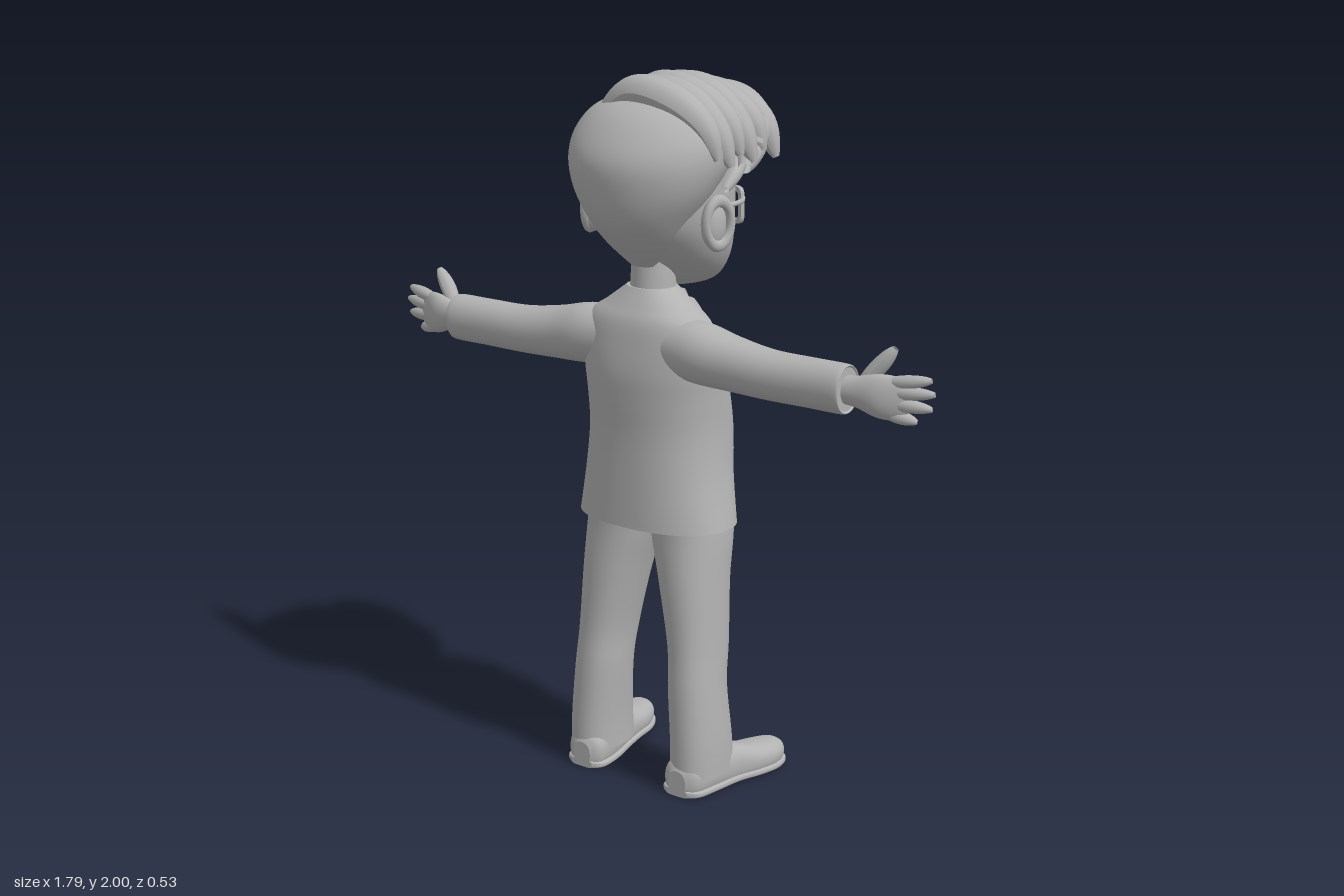
import * as THREE from 'three';

const grey = new THREE.MeshStandardMaterial({ color: 0xb2b2b2, side: THREE.DoubleSide });

// Smoothly interpolated row [along, cx, cz, rx, rz] at t in 0..1
function rowAt(rows, t) {
  const f = t * (rows.length - 1), i = Math.min(Math.floor(f), rows.length - 2), u = f - i;
  const at = k => rows[Math.max(0, Math.min(rows.length - 1, k))];
  return rows[0].map((_, k) => {
    const [a, b, c, d] = [at(i - 1)[k], at(i)[k], at(i + 1)[k], at(i + 2)[k]];
    return b + 0.5 * u * (c - a + u * (2 * a - 5 * b + 4 * c - d + u * (3 * (b - c) + d - a)));
  });
}

// Closed loft of superellipse rings stacked along y
function loft(rows, n = 2, seg = 40, sub = 6, rule = null) {
  const pos = [], idx = [], rings = (rows.length - 1) * sub;
  const ring = (t) => {
    const [y, cx, cz, rx, rz] = rowAt(rows, t);
    for (let j = 0; j < seg; j++) {
      const a = j / seg * Math.PI * 2, c = Math.cos(a), s = Math.sin(a);
      const p = new THREE.Vector3(cx + Math.sign(c) * Math.abs(c) ** (2 / n) * rx, y,
        cz + Math.sign(s) * Math.abs(s) ** (2 / n) * rz);
      if (rule) rule(p, cz);
      pos.push(p.x, p.y, p.z);
    }
  };
  for (let i = 0; i <= rings; i++) ring(i / rings);
  for (let i = 0; i < rings; i++) for (let j = 0; j < seg; j++) {
    const a = i * seg + j, b = i * seg + (j + 1) % seg;
    idx.push(a, a + seg, b, b, a + seg, b + seg);
  }
  for (const t of [0, 1]) {
    const base = pos.length / 3;
    ring(t);
    const r = rows[t * (rows.length - 1)];
    pos.push(r[1], r[0], r[2]);
    for (let j = 0; j < seg; j++) {
      const a = base + j, b = base + (j + 1) % seg;
      idx.push(base + seg, t ? b : a, t ? a : b);
    }
  }
  return build(pos, idx);
}

function build(pos, idx) {
  const g = new THREE.BufferGeometry();
  g.setAttribute('position', new THREE.Float32BufferAttribute(pos, 3));
  g.setIndex(idx);
  g.computeVertexNormals();
  return g;
}

// Tapered round strand through points; radius is a function of t
function strand(pts, radius, seg = 28) {
  const curve = new THREE.CatmullRomCurve3(pts.map(p => new THREE.Vector3(...p)));
  const g = new THREE.TubeGeometry(curve, seg, 1, 12), p = g.attributes.position, v = new THREE.Vector3();
  for (let i = 0; i < p.count; i++) {
    const t = Math.floor(i / 13) / seg, c = curve.getPointAt(t);
    v.fromBufferAttribute(p, i).sub(c).multiplyScalar(radius(t)).add(c);
    p.setXYZ(i, v.x, v.y, v.z);
  }
  g.computeVertexNormals();
  return g;
}
const rounded = r => t => r * Math.max(0.02, Math.sin(Math.PI * (0.06 + 0.9 * t))) ** 0.5;
const ball = (x, y, z, rx, ry, rz) => new THREE.SphereGeometry(1, 28, 20).scale(rx, ry, rz).translate(x, y, z);

function mirrored(g) {
  const m = g.clone().scale(-1, 1, 1);
  if (!m.index) m.setIndex([...Array(m.attributes.position.count).keys()]);
  const a = m.index.array;
  for (let i = 0; i < a.length; i += 3) [a[i], a[i + 1]] = [a[i + 1], a[i]];
  return m;
}

const jacketRows = [
  [0.765, 0.005, 0.03, 0.238, 0.152], [0.9, 0, 0.016, 0.214, 0.163], [1.02, 0, 0.008, 0.202, 0.17],
  [1.12, 0, 0.02, 0.202, 0.163], [1.2, 0, 0.038, 0.205, 0.147], [1.28, 0, 0.055, 0.205, 0.12],
  [1.34, 0, 0.06, 0.185, 0.102], [1.38, 0, 0.055, 0.13, 0.085], [1.425, 0, 0.05, 0.07, 0.062]];

// Chest surface depth, used to drape cloth details over the jacket
function chestZ(x, y) {
  let lo = 0, hi = 1;
  for (let k = 0; k < 20; k++) { const m = (lo + hi) / 2; rowAt(jacketRows, m)[0] < y ? lo = m : hi = m; }
  const [, cx, cz, rx, rz] = rowAt(jacketRows, lo);
  return cz - rz * Math.max(0, 1 - Math.abs((x - cx) / rx) ** 2.3) ** (1 / 2.3);
}

// Raised cloth panel; edges lists [y, innerX, outerX] from bottom to top
function drape(edges, lift) {
  const pos = [], idx = [], R = 16, C = 8;
  for (let i = 0; i <= R; i++) {
    const [y, a, b] = rowAt(edges, i / R);
    for (let j = 0; j <= C; j++) {
      const x = a + (b - a) * j / C;
      const edge = j === 0 || j === C || i === 0 || i === R;
      pos.push(x, y, chestZ(x, y) - (edge ? -0.003 : lift));
    }
  }
  for (let i = 0; i < R; i++) for (let j = 0; j < C; j++) {
    const a = i * (C + 1) + j, c = a + C + 1;
    idx.push(a, c, a + 1, a + 1, c, c + 1);
  }
  return build(pos, idx);
}

export function createModel() {
  const model = new THREE.Group();
  const add = (name, g) => {
    const m = new THREE.Mesh(g, grey);
    m.name = name;
    model.add(m);
  };
  const pair = (name, g) => { add(name + 'Left', g); add(name + 'Right', mirrored(g)); };

  // Jacket with the front hem cut away around the middle
  add('jacket', loft(jacketRows, 2.3, 64, 6, (p, cz) => {
    if (p.z < cz && p.y < 0.98)
      p.y += 0.1 * Math.max(0, 1 - Math.abs(p.x) / 0.12) ** 0.8 * (0.98 - p.y) / 0.215;
  }));
  pair('lapel', drape([[1.03, 0.0, 0.012], [1.12, 0.025, 0.07], [1.2, 0.045, 0.11], [1.25, 0.056, 0.125]], 0.011));
  pair('jacketCollar', drape([[1.245, 0.055, 0.1], [1.3, 0.065, 0.115], [1.35, 0.07, 0.11], [1.39, 0.065, 0.09]], 0.014));
  pair('shirtCollar', drape([[1.3, 0.03, 0.04], [1.34, 0.012, 0.06], [1.38, 0.01, 0.065], [1.41, 0.02, 0.06]], 0.016));
  add('tie', drape([[1.05, -0.006, 0.006], [1.15, -0.024, 0.024], [1.28, -0.016, 0.016], [1.3, -0.013, 0.013],
    [1.34, -0.022, 0.022], [1.36, -0.02, 0.02]], 0.013));
  pair('pocketFlap', drape([[0.92, 0.08, 0.17], [0.955, 0.08, 0.17]], 0.008));
  add('button', ball(0, 1.02, chestZ(0, 1.02), 0.012, 0.012, 0.008));

  // Trousers
  pair('trouserLeg', loft([[0.05, 0.178, 0.055, 0.074, 0.107], [0.15, 0.176, 0.058, 0.073, 0.102],
    [0.3, 0.165, 0.06, 0.072, 0.094], [0.42, 0.156, 0.045, 0.073, 0.1], [0.6, 0.133, 0.032, 0.089, 0.109],
    [0.75, 0.11, 0.012, 0.107, 0.122], [0.86, 0.1, 0.015, 0.1, 0.125]], 2.2));

  // Shoes, toes turned out, flattened underneath
  const shoeRows = [[-0.23, 0.238, -0.035, 0.012, 0.012], [-0.215, 0.236, -0.035, 0.04, 0.033],
    [-0.16, 0.23, -0.035, 0.062, 0.042], [-0.09, 0.218, -0.038, 0.062, 0.05], [-0.02, 0.198, -0.045, 0.058, 0.065],
    [0.07, 0.18, -0.05, 0.063, 0.07], [0.14, 0.172, -0.045, 0.058, 0.06], [0.165, 0.17, -0.04, 0.03, 0.035]];
  pair('shoe', loft(shoeRows, 2.3, 36, 5, p => { p.z = Math.min(p.z, -0.012); }).rotateX(Math.PI / 2));
  pair('sole', loft(shoeRows.map(([a, x, , r]) => [a, x, -0.011, r + 0.006, 0.011]), 4, 36, 5).rotateX(Math.PI / 2));

  // Sleeves run out along x
  pair('sleeve', loft([[0.1, -1.275, 0.085, 0.075, 0.075], [0.19, -1.27, 0.085, 0.084, 0.082],
    [0.3, -1.256, 0.085, 0.074, 0.073], [0.42, -1.247, 0.09, 0.067, 0.065], [0.55, -1.247, 0.092, 0.066, 0.06],
    [0.655, -1.248, 0.096, 0.066, 0.056], [0.66, -1.248, 0.096, 0.058, 0.048]], 2.1).rotateZ(-Math.PI / 2));

  // Hands with four fingers and a thumb
  pair('palm', loft([[0.63, -1.247, 0.095, 0.036, 0.034], [0.69, -1.247, 0.093, 0.042, 0.03],
    [0.75, -1.243, 0.085, 0.058, 0.03], [0.8, -1.24, 0.07, 0.056, 0.022], [0.825, -1.24, 0.065, 0.035, 0.01]])
    .rotateZ(-Math.PI / 2));
  [[1.28, 0.885, 1.297], [1.255, 0.895, 1.262], [1.228, 0.888, 1.222], [1.2, 0.845, 1.182]].forEach(([y, tx, ty], i) =>
    pair('finger' + (i + 1), strand([[0.76, y, 0.08], [(0.77 + tx) / 2, (y + ty) / 2, 0.066], [tx, ty, 0.052]], rounded(0.018), 14)));
  pair('thumb', strand([[0.69, 1.265, 0.08], [0.73, 1.31, 0.06], [0.775, 1.365, 0.05]], rounded(0.023), 14));

  // Neck, face and ears
  add('neck', new THREE.CylinderGeometry(0.057, 0.066, 0.16, 32).translate(0, 1.45, 0.045));
  add('face', loft([[1.408, 0, -0.095, 0.03, 0.045], [1.425, 0, -0.09, 0.085, 0.085], [1.46, 0, -0.07, 0.13, 0.112],
    [1.52, 0, -0.04, 0.168, 0.148], [1.6, 0, -0.01, 0.19, 0.175], [1.7, 0, 0, 0.198, 0.18],
    [1.8, 0, 0, 0.195, 0.175], [1.88, 0, 0, 0.14, 0.13]], 2.1, 48));
  add('nose', strand([[0, 1.64, -0.17], [0, 1.6, -0.188], [0, 1.565, -0.2], [0, 1.545, -0.185]], t => 0.012 + 0.016 * Math.sin(Math.PI * t ** 1.6)));
  add('mouth', strand([[-0.045, 1.492, -0.166], [0, 1.485, -0.186], [0.045, 1.492, -0.166]], rounded(0.01)));
  add('chin', ball(0, 1.44, -0.135, 0.055, 0.035, 0.042));
  pair('eye', ball(0.072, 1.62, -0.158, 0.034, 0.028, 0.022));
  pair('eyebrow', strand([[0.03, 1.69, -0.178], [0.08, 1.705, -0.166], [0.135, 1.69, -0.132]], rounded(0.012)));
  pair('ear', ball(0.2, 1.615, 0.045, 0.028, 0.068, 0.043));
  pair('earRim', new THREE.TorusGeometry(0.048, 0.014, 10, 28).scale(0.85, 1.25, 1).rotateY(Math.PI / 2 - 0.3).translate(0.216, 1.618, 0.045));

  // Glasses
  const box = (path, w, h, r) => {
    path.moveTo(-w + r, -h).lineTo(w - r, -h).quadraticCurveTo(w, -h, w, -h + r).lineTo(w, h - r)
      .quadraticCurveTo(w, h, w - r, h).lineTo(-w + r, h).quadraticCurveTo(-w, h, -w, h - r)
      .lineTo(-w, -h + r).quadraticCurveTo(-w, -h, -w + r, -h);
    return path;
  };
  const rim = box(new THREE.Shape(), 0.066, 0.052, 0.025);
  rim.holes.push(box(new THREE.Path(), 0.053, 0.039, 0.018));
  pair('glassesRim', new THREE.ExtrudeGeometry(rim, { depth: 0.012, bevelEnabled: false, curveSegments: 6 })
    .rotateY(-0.35).translate(0.082, 1.622, -0.2));
  pair('glassesTemple', strand([[0.142, 1.645, -0.172], [0.185, 1.65, -0.1], [0.205, 1.655, 0.03]], () => 0.007));
  add('glassesBridge', strand([[-0.024, 1.632, -0.21], [0, 1.64, -0.217], [0.024, 1.632, -0.21]], () => 0.007, 10));

  // Smooth hair at the back and sides
  add('backHair', loft([[1.485, 0, 0.09, 0.035, 0.025], [1.55, 0, 0.1, 0.1, 0.08], [1.62, 0, 0.097, 0.152, 0.135],
    [1.7, 0, 0.085, 0.203, 0.17], [1.78, 0, 0.058, 0.23, 0.2], [1.85, 0, 0.04, 0.222, 0.185],
    [1.91, 0, 0.03, 0.17, 0.14], [1.95, 0, 0.03, 0.06, 0.055]], 2, 48));
  add('templeHair', ball(-0.155, 1.81, -0.05, 0.072, 0.09, 0.11));
  add('hairCrown', ball(0.03, 1.85, -0.05, 0.195, 0.115, 0.165));

  // Locks swept over from the side parting
  for (let i = 0; i < 6; i++) {
    const z = 0.1 - 0.052 * i, d = 0.012 * (i % 2), low = i > 3 ? 0.012 * (i - 3) : 0;
    add('sweptLock' + (i + 1), strand([[-0.12 + d, 1.885 - low, z], [-0.03, 1.948 - low - d / 2, z - 0.01],
      [0.1, 1.93 - low, z - 0.015], [0.195, 1.87 - d, z - 0.02], [0.235 + d / 2, 1.79 - 2 * d, z - 0.025]],
      t => 0.05 * Math.max(0.02, Math.sin(Math.PI * (0.1 + 0.88 * t))) ** 0.6));
  }

  // Rolled quiff over the forehead
  add('quiffTop', strand([[-0.11, 1.86, -0.16], [-0.04, 1.895, -0.2], [0.08, 1.895, -0.205], [0.17, 1.86, -0.18], [0.225, 1.8, -0.11]], rounded(0.06)));
  add('quiffFront', strand([[-0.1, 1.81, -0.15], [-0.01, 1.835, -0.205], [0.1, 1.83, -0.2], [0.185, 1.8, -0.15], [0.225, 1.75, -0.06]], rounded(0.048)));
  add('fringe', strand([[-0.13, 1.785, -0.13], [0, 1.785, -0.175], [0.11, 1.78, -0.16], [0.19, 1.745, -0.07], [0.205, 1.7, 0]], rounded(0.032)));
  return model;
}
